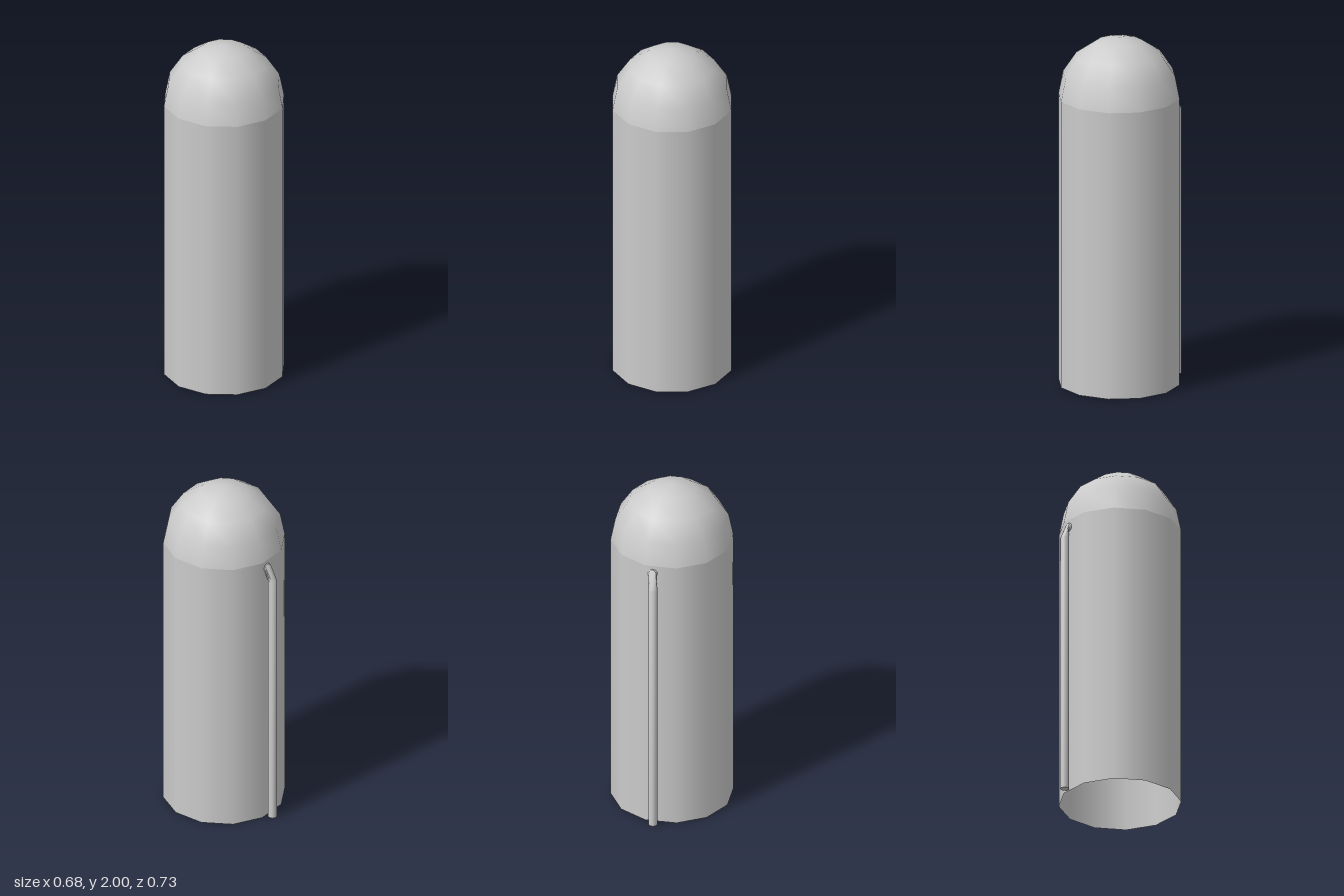
import * as THREE from 'three';
import { mergeVertices, toCreasedNormals } from 'three/addons/utils/BufferGeometryUtils.js';

const RADIUS = 0.342, SIDES = 12, WALL = 1.66, CENTRE_Z = 0.022;

function add(group, name, geometry, material) {
  const mesh = new THREE.Mesh(geometry, material);
  mesh.name = name;
  group.add(mesh);
  return mesh;
}

// Half sphere with normals averaged over its own faces only
function domeGeometry() {
  const geo = new THREE.SphereGeometry(RADIUS, SIDES, 4, 0, Math.PI * 2, 0, Math.PI / 2);
  geo.deleteAttribute('uv');
  geo.deleteAttribute('normal');
  const merged = mergeVertices(geo);
  merged.computeVertexNormals();
  return merged;
}

// Thin pipe: rises up the back wall, leans inwards, then enters the wall
function pipeGeometry() {
  const rings = [
    { centre: [-0.057, 0, -0.341], upright: false },
    { centre: [-0.057, 1.535, -0.341], upright: false },
    { centre: [-0.041, 1.615, -0.318], upright: true },
    { centre: [-0.041, 1.615, -0.28], upright: true },
  ];
  const geo = new THREE.CylinderGeometry(0.025, 0.025, 3, 16, 3);
  const pos = geo.attributes.position;
  for (let i = 0; i < pos.count; i++) {
    const { centre: [cx, cy, cz], upright } = rings[Math.round(pos.getY(i) + 1.5)];
    const x = pos.getX(i), z = pos.getZ(i);
    // Upright rings are the flat ring tipped over to face the wall
    pos.setXYZ(i, cx + x, cy + (upright ? -z : 0), cz + (upright ? 0 : z));
  }
  return toCreasedNormals(geo, 0.5);
}

export function createModel() {
  const group = new THREE.Group();
  group.name = 'domedColumn';
  const shell = new THREE.MeshStandardMaterial({ color: 0xcccccc, side: THREE.DoubleSide });
  const solid = new THREE.MeshStandardMaterial({ color: 0xcccccc });

  // Wall, open at the bottom
  const wall = new THREE.CylinderGeometry(RADIUS, RADIUS, WALL, SIDES, 1, true);
  add(group, 'wall', wall, shell).position.set(0, WALL / 2, CENTRE_Z);

  // Rounded top
  add(group, 'dome', domeGeometry(), shell).position.set(0, WALL, CENTRE_Z);

  // Pipe on the back
  add(group, 'pipe', pipeGeometry(), solid);

  return group;
}
